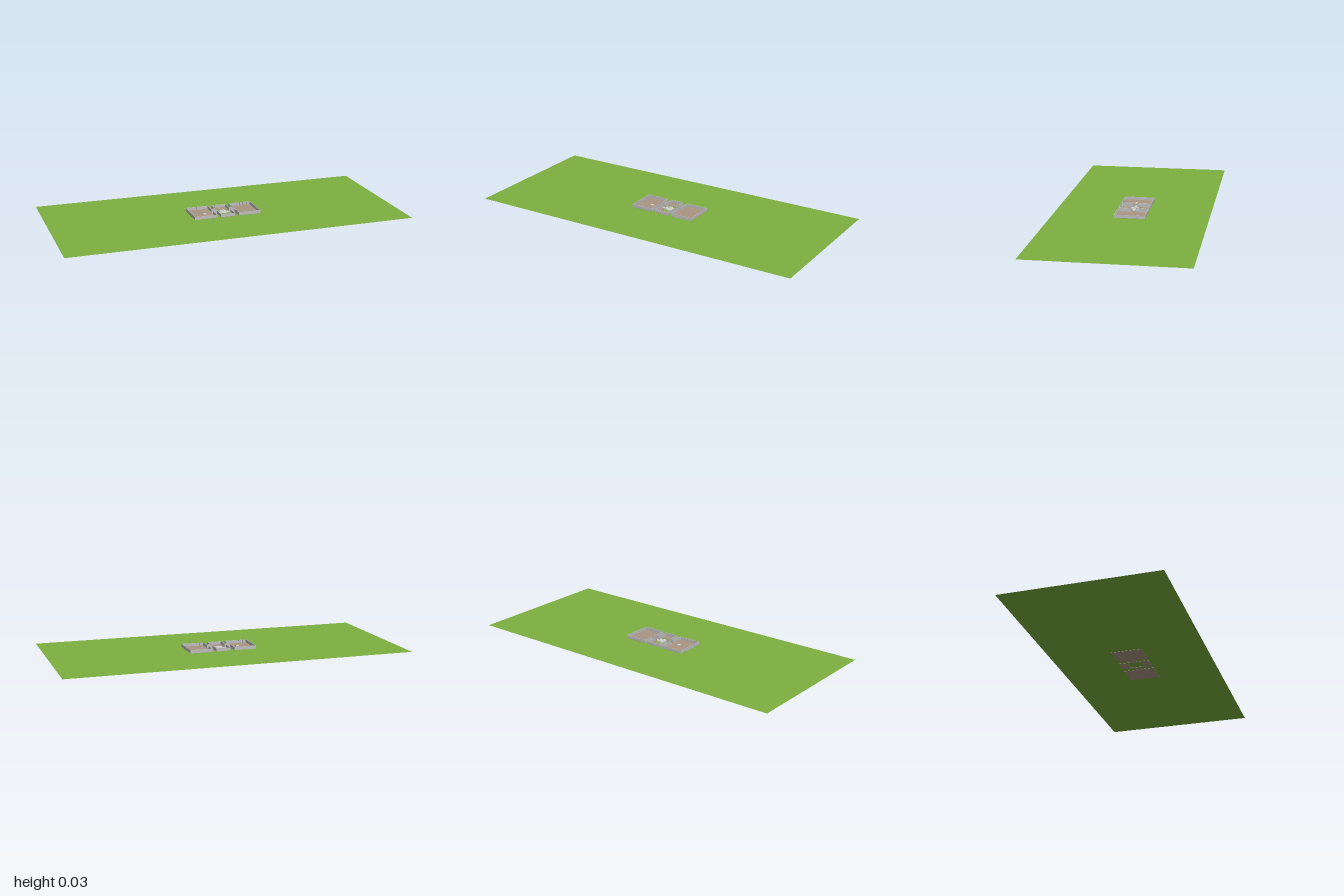
import * as THREE from 'three';

const mat = (name, color, side = THREE.FrontSide) => {
  const m = new THREE.MeshStandardMaterial({ color, side });
  m.name = name;
  return m;
};

export function createModel() {
  const grass = mat('grass green', 0x7cb03f, THREE.DoubleSide);
  const floorMat = mat('floor tan', 0xa99583);
  const stone = mat('wall grey', 0xbdbdbd);
  const pale = mat('pale stone', 0xcfd2cc);
  const model = new THREE.Group();

  const add = (parent, name, geo, material, x = 0, y = 0, z = 0) => {
    const mesh = new THREE.Mesh(geo, material);
    mesh.name = name;
    mesh.position.set(x, y, z);
    parent.add(mesh);
    return mesh;
  };
  // Box given by its limits on each axis
  const box = (parent, name, material, x0, x1, y0, y1, z0, z1) =>
    add(parent, name, new THREE.BoxGeometry(x1 - x0, y1 - y0, z1 - z0), material,
      (x0 + x1) / 2, (y0 + y1) / 2, (z0 + z1) / 2);

  const D = 0.0885, T = 0.003, TOP = 0.02, FLOOR = 0.003, DOOR = 0.014;

  // Lawn, with the building slabs passing through it
  add(model, 'lawn', new THREE.PlaneGeometry(2, 0.888).rotateX(-Math.PI / 2), grass, 0, 0.0015, 0);

  // Wall along z, optionally broken by a doorway
  const sideWall = (room, x0, door) => {
    const spans = door ? [[-D, -DOOR], [DOOR, D]] : [[-D, D]];
    for (const [a, b] of spans) box(room, 'sideWall', stone, x0, x0 + T, 0.001, TOP, a, b);
  };

  const makeRoom = (name, x0, x1, doorLeft, doorRight, court) => {
    const room = new THREE.Group();
    room.name = name;
    model.add(room);
    // Floor, left open around the courtyard
    if (court) {
      for (const s of [-1, 1]) {
        box(room, 'floor', floorMat, x0, x1, 0, FLOOR, Math.min(s * D, s * 0.04), Math.max(s * D, s * 0.04));
      }
      box(room, 'floorEdge', floorMat, x0, x0 + 0.012, 0, FLOOR, -0.04, 0.04);
      box(room, 'floorEdge', floorMat, x1 - 0.012, x1, 0, FLOOR, -0.04, 0.04);
    } else {
      box(room, 'floor', floorMat, x0, x1, 0, FLOOR, -D, D);
    }
    // Outer walls
    box(room, 'frontWall', stone, x0, x1, 0.001, TOP, D - T, D);
    box(room, 'backWall', stone, x0, x1, 0.001, TOP, -D, -D + T);
    sideWall(room, x0, doorLeft);
    sideWall(room, x1 - T, doorRight);
    // Slim pilasters along the inner faces
    const n = Math.round((x1 - x0) / 0.022);
    for (let i = 1; i < n; i++) {
      const x = x0 + (x1 - x0) * i / n;
      for (const z of [-D + T + 0.001, D - T - 0.001]) {
        box(room, 'pilaster', stone, x - 0.002, x + 0.002, FLOOR, TOP, z - 0.001, z + 0.001);
      }
    }
    return room;
  };

  makeRoom('leftHall', -0.186, -0.052, false, true, false);
  const court = makeRoom('courtyard', -0.03, 0.055, true, true, true);
  makeRoom('rightHall', 0.077, 0.21, true, false, false);

  // Corridors with round-topped side walls
  const makeCorridor = (x0, x1) => {
    const corridor = new THREE.Group();
    corridor.name = 'corridor';
    model.add(corridor);
    box(corridor, 'corridorFloor', floorMat, x0, x1, 0, FLOOR, -0.015, 0.015);
    const w = x1 - x0, shape = new THREE.Shape();
    shape.moveTo(0, 0.001);
    shape.lineTo(w, 0.001);
    shape.lineTo(w, 0.017);
    shape.quadraticCurveTo(w * 0.8, 0.025, w / 2, 0.025);
    shape.quadraticCurveTo(w * 0.2, 0.025, 0, 0.017);
    const geo = new THREE.ExtrudeGeometry(shape, { depth: 0.002, bevelEnabled: false, curveSegments: 6 });
    for (const z of [-0.015, 0.015]) add(corridor, 'archedWall', geo, stone, x0, 0, z - 0.001);
  };
  makeCorridor(-0.052, -0.03);
  makeCorridor(0.055, 0.077);

  // Pale paving through the courtyard and a low round basin
  box(court, 'path', pale, -0.052, 0.055, FLOOR, 0.0036, -0.006, 0.006);
  add(court, 'basin', new THREE.CylinderGeometry(0.022, 0.024, 0.007, 10), pale, 0.012, 0.0055, 0);
  add(court, 'basinPillar', new THREE.CylinderGeometry(0.004, 0.005, 0.008, 8), pale, 0.012, 0.012, 0);
  for (const [x, z] of [[-0.012, -0.014], [0.035, 0.014], [0.034, -0.013], [-0.008, 0.015]]) {
    add(court, 'stone', new THREE.CylinderGeometry(0.005, 0.006, 0.004, 6), pale, x, 0.004, z);
  }

  // Small pedestal in the left hall
  box(model, 'pedestal', pale, -0.112, -0.092, FLOOR, 0.008, 0, 0.014);
  return model;
}
